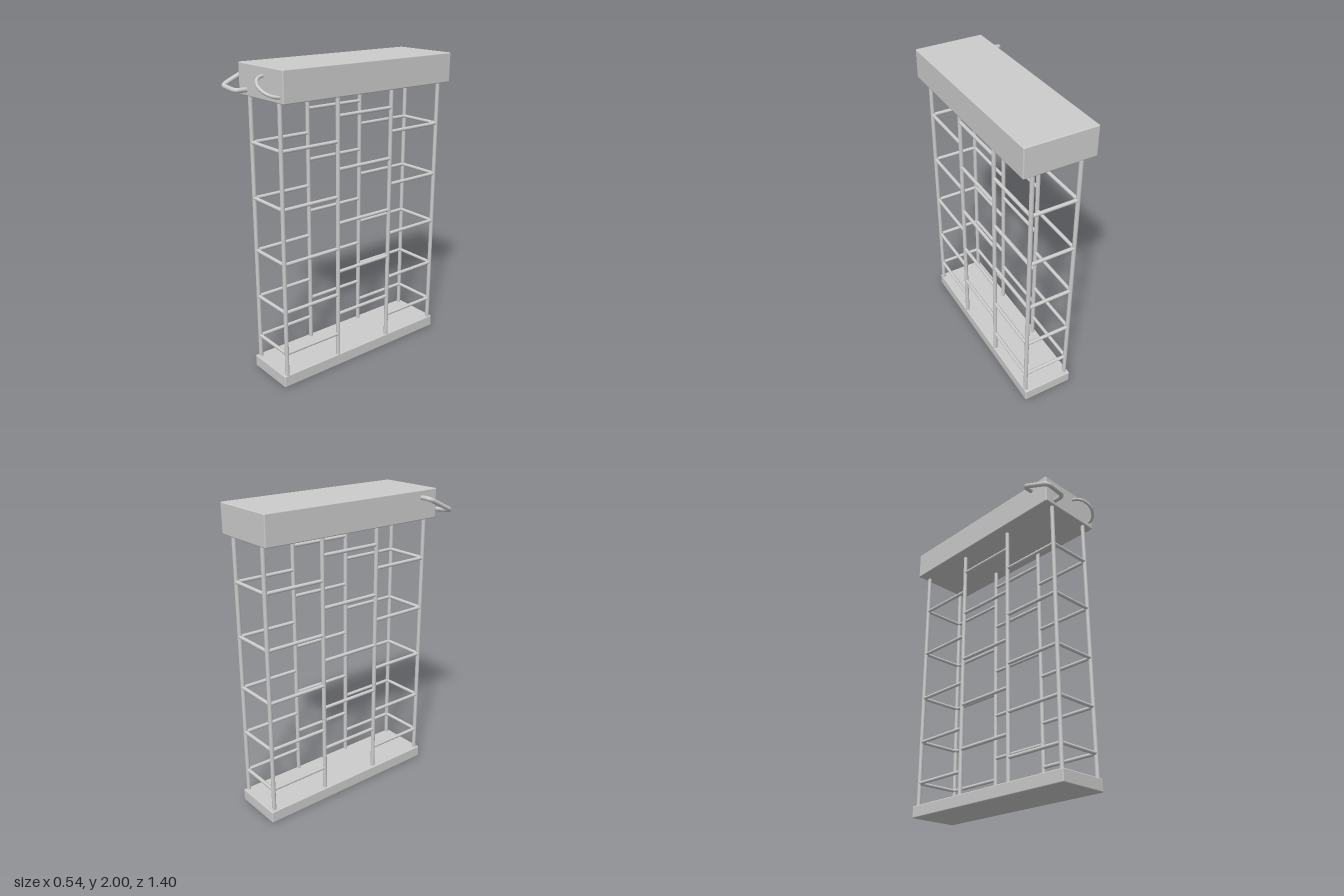
import * as THREE from 'three';
import { RoundedBoxGeometry } from 'three/addons/geometries/RoundedBoxGeometry.js';

const material = new THREE.MeshStandardMaterial({ color: 0xcccccc });
const V = (x, y, z) => new THREE.Vector3(x, y, z);

export function createModel() {
  const model = new THREE.Group();

  const add = (name, geometry) => {
    const mesh = new THREE.Mesh(geometry, material);
    mesh.name = name;
    model.add(mesh);
    return mesh;
  };

  // Slab given by its lower and upper corners
  const slab = (name, a, b) => {
    const size = b.clone().sub(a);
    add(name, new RoundedBoxGeometry(size.x, size.y, size.z, 2, 0.007))
      .position.copy(a).add(b).multiplyScalar(0.5);
  };

  // Round bar between two points
  const bar = (name, a, b, radius) => {
    const dir = b.clone().sub(a);
    const mesh = add(name, new THREE.CylinderGeometry(radius, radius, dir.length(), 16));
    mesh.position.copy(a).add(b).multiplyScalar(0.5);
    mesh.quaternion.setFromUnitVectors(V(0, 1, 0), dir.normalize());
  };

  slab('base', V(-0.135, 0, -0.7), V(0.21, 0.08, 0.613));
  slab('topBox', V(-0.19, 1.81, -0.7), V(0.27, 2, 0.61));

  // Ladder frame: four posts on each side, rungs staggered in the middle bay
  const sides = [-0.11, 0.195];
  const posts = [0.585, 0.173, -0.255, -0.668];
  const outerHeights = [0.23, 0.515, 0.835, 1.18, 1.53];
  const middleHeights = [0.375, 0.675, 1.005, 1.355, 1.685];
  for (const x of sides) {
    for (const z of posts) bar('post', V(x, 0.07, z), V(x, 1.82, z), 0.0135);
    for (let i = 0; i < 3; i++) {
      for (const y of i === 1 ? middleHeights : outerHeights) {
        bar('sideRung', V(x, y, posts[i]), V(x, y, posts[i + 1]), 0.0115);
      }
    }
  }
  for (const z of [posts[0], posts[3]]) {
    for (const y of outerHeights) bar('endRung', V(sides[0], y, z), V(sides[1], y, z), 0.0115);
  }

  // Bent handle wrapping the front corner, with rounded bends
  const corners = [
    V(-0.17, 1.953, 0.48), V(-0.257, 1.953, 0.48), V(-0.257, 1.86, 0.683),
    V(-0.11, 1.846, 0.683), V(-0.11, 1.846, 0.59),
  ];
  const path = new THREE.CurvePath();
  let start = corners[0];
  for (let i = 1; i < corners.length - 1; i++) {
    const c = corners[i];
    const toward = (p) => c.clone().add(p.clone().sub(c).setLength(0.035));
    const before = toward(corners[i - 1]);
    const after = toward(corners[i + 1]);
    path.add(new THREE.LineCurve3(start, before));
    path.add(new THREE.QuadraticBezierCurve3(before, c, after));
    start = after;
  }
  path.add(new THREE.LineCurve3(start, corners[corners.length - 1]));
  add('cornerHandle', new THREE.TubeGeometry(path, 80, 0.015, 12));

  // Slanted half ring on the front face
  const arc = [];
  for (let i = 0; i <= 16; i++) {
    const t = (i / 16) * Math.PI;
    arc.push(V(0.153 - 0.081 * Math.cos(t), 1.897 + 0.05 * Math.cos(t), 0.603 + 0.086 * Math.sin(t)));
  }
  add('frontRing', new THREE.TubeGeometry(new THREE.CatmullRomCurve3(arc), 48, 0.01, 12));

  return model;
}
